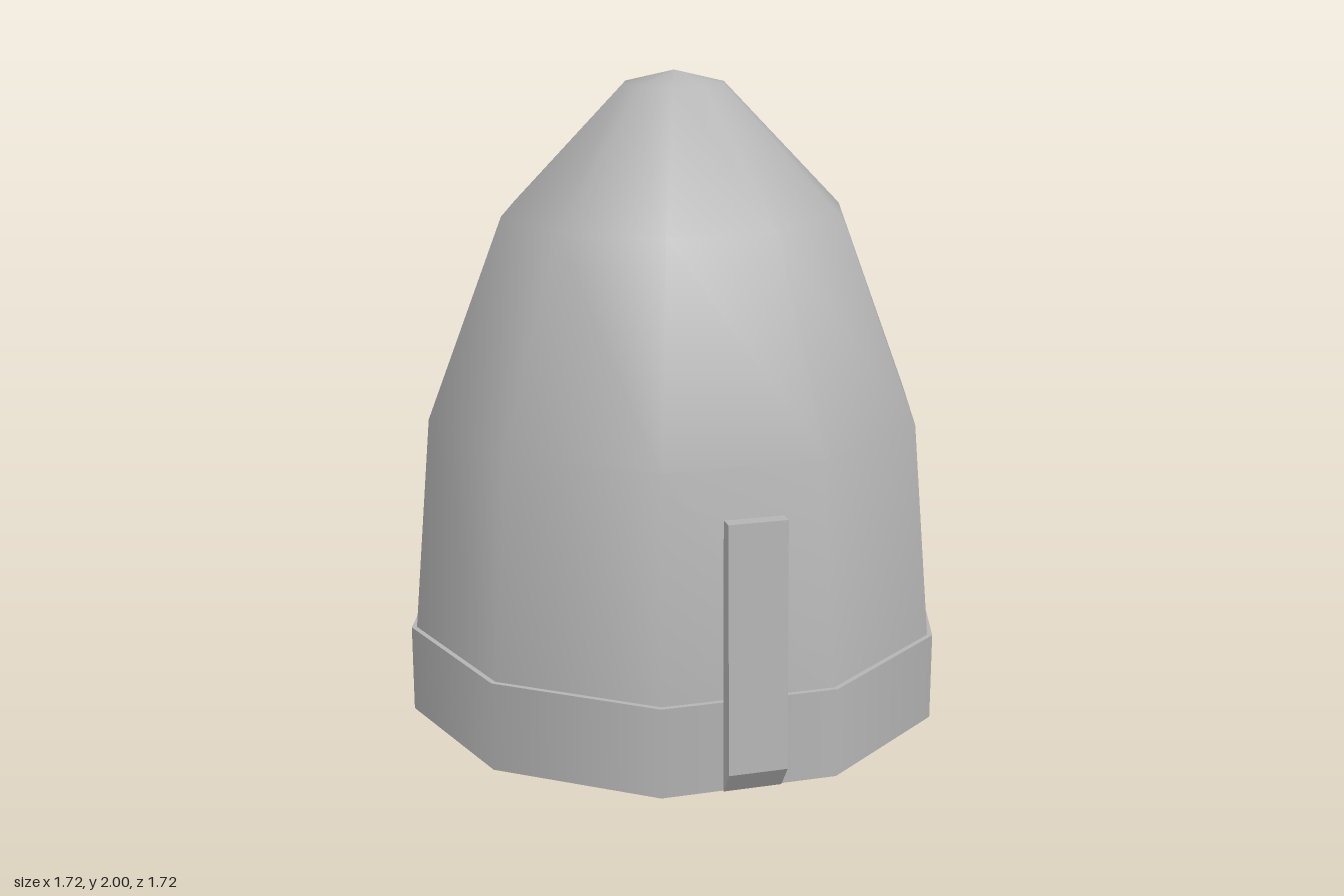
import * as THREE from 'three';

const SIDES = 10;
const AXIS_Z = -0.037;

export function createModel() {
  const model = new THREE.Group();
  const grey = new THREE.MeshStandardMaterial({ color: 0xb4b4b4 });
  grey.name = 'plain grey';

  const add = (name, geometry, parent = model) => {
    const mesh = new THREE.Mesh(geometry, grey);
    mesh.name = name;
    parent.add(mesh);
    return mesh;
  };

  // Ten-sided surface of revolution with a corner on the x axis
  const lathe = (points) => new THREE.LatheGeometry(
    points.map(([r, y]) => new THREE.Vector2(r, y)), SIDES, Math.PI / 10);

  const body = new THREE.Group();
  body.name = 'body';
  body.position.z = AXIS_Z;
  model.add(body);

  // Hollow dome: outer skin and inner lining
  add('domeOuter', lathe([[0.845, 0.27], [0.785, 0.95], [0.545, 1.57], [0.16, 1.962], [0, 2]]), body);
  add('domeInner', lathe([[0, 1.965], [0.145, 1.93], [0.518, 1.55], [0.755, 0.94], [0.825, 0.27], [0.83, 0]]), body);

  // Band round the base, with a sharp lip above and below
  add('baseBandSide', lathe([[0.861, 0], [0.861, 0.275]]), body);
  add('baseBandTop', lathe([[0.861, 0.275], [0.84, 0.275]]), body);
  add('baseBandRim', lathe([[0.83, 0], [0.861, 0]]), body);

  // Upright front bar with a slanted lower end
  const barShape = new THREE.Shape([
    [0.807, 0.01], [0.86, 0.083], [0.836, 0.825], [0.793, 0.825],
  ].map(([z, y]) => new THREE.Vector2(z, y)));
  const barWidth = 0.176;
  const bar = new THREE.ExtrudeGeometry(barShape, { depth: barWidth, bevelEnabled: false });
  bar.rotateY(-Math.PI / 2).translate(barWidth / 2, 0, 0);
  add('frontBar', bar);

  // Four splayed legs inside, on the diagonals, below a small hub
  for (let i = 0; i < 4; i++) {
    const pivot = new THREE.Group();
    pivot.name = 'innerLeg' + (i + 1);
    pivot.rotation.y = Math.PI / 4 + i * Math.PI / 2;
    body.add(pivot);
    const leg = add('legBar', new THREE.BoxGeometry(0.126, 0.66, 0.055), pivot);
    leg.position.set(0, 0.43, 0.41);
    leg.rotation.x = -0.42;
  }
  const hub = add('innerHub', new THREE.CylinderGeometry(0.28, 0.3, 0.12, SIDES), body);
  hub.position.y = 0.7;

  return model;
}
